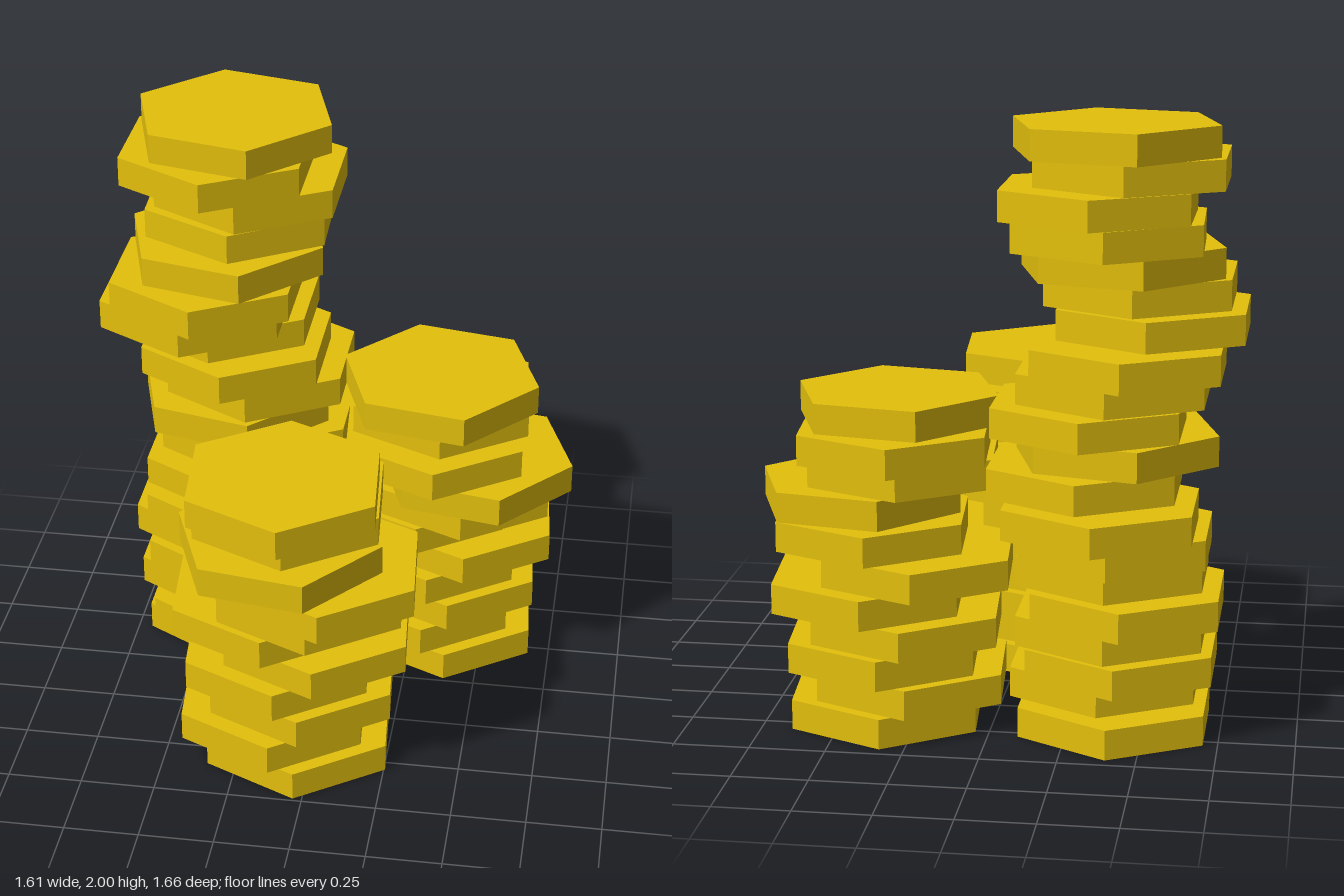
import * as THREE from 'three';

const RADIUS = 0.349, HEIGHT = 0.1;

// Each stack runs bottom to top: [x, z, optional turn in degrees]
const STACKS = [
  {
    name: 'tallBackStack', turn: 0, pieces: [
      [-0.40, -0.36], [-0.36, -0.25], [-0.422, -0.36], [-0.386, -0.32],
      [-0.443, -0.394], [-0.386, -0.31], [-0.40, -0.394], [-0.36, -0.48],
      [-0.296, -0.354], [-0.392, -0.317, 16], [-0.307, -0.354], [-0.382, -0.295],
      [-0.437, -0.39], [-0.505, -0.235], [-0.457, -0.181], [-0.40, -0.252, 16],
      [-0.368, -0.35, 2], [-0.335, -0.368], [-0.437, -0.302], [-0.385, -0.352, 16],
    ],
  },
  {
    name: 'frontStack', turn: 5, pieces: [
      [-0.061, 0.392], [-0.145, 0.394], [-0.05, 0.373], [-0.13, 0.375],
      [0, 0.373], [-0.17, 0.364], [-0.013, 0.412], [0.037, 0.484],
      [-0.106, 0.489, 21], [-0.0925, 0.386], [-0.093, 0.477],
    ],
  },
  {
    name: 'leftBackStack', turn: 5, pieces: [
      [0.361, -0.362], [0.277, -0.36], [0.367, -0.378], [0.291, -0.379],
      [0.419, -0.379], [0.25, -0.391], [0.409, -0.342], [0.46, -0.281, 19],
      [0.317, -0.267], [0.328, -0.373], [0.332, -0.285, 19],
    ],
  },
];

export function createModel() {
  const model = new THREE.Group();
  model.name = 'hexagonalPieceStacks';
  const gold = new THREE.MeshStandardMaterial({ color: 0xe4c00c });
  gold.name = 'gold';
  // Flat-sided hexagonal piece
  const hexagon = new THREE.CylinderGeometry(RADIUS, RADIUS, HEIGHT, 6).toNonIndexed();
  hexagon.computeVertexNormals();

  for (const { name, turn, pieces } of STACKS) {
    const stack = new THREE.Group();
    stack.name = name;
    // Loosely piled pieces
    pieces.forEach(([x, z, ownTurn = turn], i) => {
      const piece = new THREE.Mesh(hexagon, gold);
      piece.name = `hexPiece${i + 1}`;
      piece.position.set(x, (i + 0.5) * HEIGHT, z);
      piece.rotation.y = THREE.MathUtils.degToRad(ownTurn);
      stack.add(piece);
    });
    model.add(stack);
  }
  return model;
}
